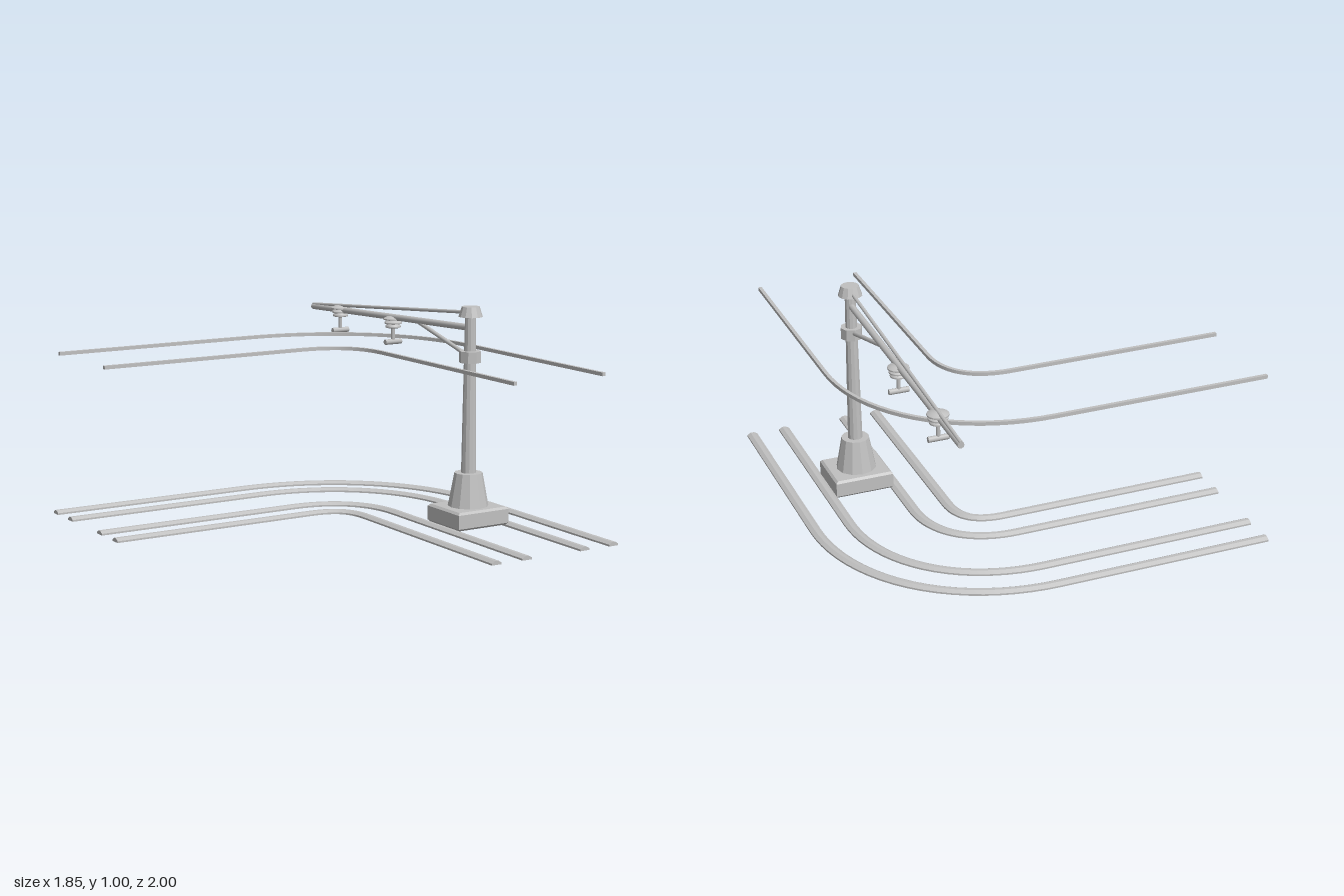
import * as THREE from 'three';
import { toCreasedNormals } from 'three/addons/utils/BufferGeometryUtils.js';

const POLE_X = 0.583, POLE_Z = 0.35;
const BEND_X = 0.073, START_X = -0.925, END_Z = 1;
const BEND_R = 0.51, HANDLE = 0.6 * BEND_R;

// Middle line of the bend; every rail and wire runs parallel to it
const bend = new THREE.CubicBezierCurve(
  new THREE.Vector2(BEND_X, -BEND_R), new THREE.Vector2(BEND_X + HANDLE, -BEND_R),
  new THREE.Vector2(BEND_X + BEND_R, -HANDLE), new THREE.Vector2(BEND_X + BEND_R, 0));

// Sweep a cross-section (outward offset, height) along a straight, the bend and a straight
function bendSweep(radius, profile, steps = 20) {
  const rings = [[START_X, -radius, 0, -1]];
  for (let i = 0; i <= steps; i++) {
    const p = bend.getPoint(i / steps), t = bend.getTangent(i / steps);
    const d = radius - BEND_R;
    rings.push([p.x + t.y * d, p.y - t.x * d, t.y, -t.x]);
  }
  rings.push([BEND_X + radius, END_Z, 1, 0]);

  const n = profile.length, pos = [], idx = [];
  for (const [x, z, ox, oz] of rings)
    for (const [u, y] of profile) pos.push(x + ox * u, y, z + oz * u);
  for (let i = 0; i < rings.length - 1; i++)
    for (let j = 0; j < n; j++) {
      const a = i * n + j, b = i * n + (j + 1) % n;
      idx.push(a, b, b + n, a, b + n, a + n);
    }
  const last = (rings.length - 1) * n;
  for (let j = 1; j < n - 1; j++)
    idx.push(0, j + 1, j, last, last + j, last + j + 1);

  const geo = new THREE.BufferGeometry();
  geo.setAttribute('position', new THREE.Float32BufferAttribute(pos, 3));
  geo.setIndex(idx);
  return toCreasedNormals(geo, 0.4);
}

// Box with chamfered top and bottom edges, standing on y = 0
function chamferedBox(w, h, d, c) {
  const x = w / 2 - c, z = d / 2 - c;
  const shape = new THREE.Shape([[-x, -z], [x, -z], [x, z], [-x, z]].map(p => new THREE.Vector2(...p)));
  return new THREE.ExtrudeGeometry(shape, {
    depth: h - 2 * c, bevelThickness: c, bevelSize: c, bevelSegments: 1,
  }).translate(0, 0, c).rotateX(-Math.PI / 2);
}

export function createModel() {
  const model = new THREE.Group();
  model.name = 'tramCurve';
  const grey = new THREE.MeshStandardMaterial({ color: 0xc0c0c0 });
  grey.name = 'grey';

  const add = (name, geo, parent, x = 0, y = 0, z = 0) => {
    const mesh = new THREE.Mesh(geo, grey);
    mesh.name = name;
    mesh.position.set(x, y, z);
    parent.add(mesh);
    return mesh;
  };
  const turned = (points, sides) => toCreasedNormals(
    new THREE.LatheGeometry(points.map(([r, y]) => new THREE.Vector2(r, y)), sides), 0.45);
  // Rod between two points (y, z) in the plane of the pole
  const rod = (name, parent, [y0, z0], [y1, z1], r) => {
    const a = new THREE.Vector3(0, y0, z0), b = new THREE.Vector3(0, y1, z1);
    const dir = b.clone().sub(a);
    const mesh = add(name, new THREE.CylinderGeometry(r, r, dir.length(), 8), parent);
    mesh.position.copy(a).add(b).multiplyScalar(0.5);
    mesh.quaternion.setFromUnitVectors(new THREE.Vector3(0, 1, 0), dir.normalize());
  };

  // Ground rails: wide foot sloping up to a narrow flat head
  const railProfile = [[-0.025, 0], [0.025, 0], [0.025, 0.008],
    [0.008, 0.018], [-0.008, 0.018], [-0.025, 0.008]];
  for (const r of [0.195, 0.355, 0.665, 0.825])
    add('rail', bendSweep(r, railProfile), model);

  // Overhead wires above the centre of each track
  const wireProfile = [[-0.008, 0.756], [0.008, 0.756], [0.008, 0.772], [-0.008, 0.772]];
  for (const r of [0.275, 0.745])
    add('overheadWire', bendSweep(r, wireProfile), model);

  // Pole with plinth, flared foot, collar and cap
  const pole = new THREE.Group();
  pole.name = 'pole';
  pole.position.set(POLE_X, 0, POLE_Z);
  model.add(pole);
  add('plinth', chamferedBox(0.274, 0.084, 0.246, 0.01), pole, 0, 0.009, 0);
  add('foot', turned([[0, 0.085], [0.094, 0.085], [0.064, 0.245], [0, 0.245]], 12), pole);
  add('shaft', turned([[0.034, 0.24], [0.025, 0.96]], 12), pole);
  add('collar', turned([[0, 0.748], [0.05, 0.748], [0.05, 0.8], [0, 0.8]], 8), pole);
  add('cap', turned([[0, 0.954], [0.055, 0.954], [0.04, 1], [0, 1]], 12), pole);

  // Cantilever arm with its stay above and brace below
  const arm = new THREE.Group();
  arm.name = 'arm';
  arm.position.x = POLE_X;
  model.add(arm);
  rod('boom', arm, [0.904, 0.34], [0.854, -1], 0.015);
  rod('stay', arm, [0.972, 0.33], [0.865, -1], 0.008);
  rod('brace', arm, [0.777, 0.33], [0.882, -0.06], 0.01);

  // Ribbed insulators with drop stem and wire clamp
  for (const z of [-0.275, -0.745]) {
    const hanger = new THREE.Group();
    hanger.name = 'hanger';
    hanger.position.set(POLE_X, 0, z);
    model.add(hanger);
    const profile = [[0, 0.83], [0.03, 0.83]];
    for (const [r, y] of [[0.037, 0.833], [0.042, 0.851], [0.047, 0.869]])
      profile.push([r, y], [r, y + 0.006], [0.03, y + 0.015]);
    profile.push([0, 0.888]);
    add('insulator', turned(profile, 16), hanger);
    add('stem', new THREE.CylinderGeometry(0.009, 0.009, 0.075, 8), hanger, 0, 0.8, 0);
    const clamp = add('clamp', new THREE.CylinderGeometry(0.013, 0.013, 0.09, 8), hanger, 0, 0.764, 0);
    clamp.rotation.z = Math.PI / 2;
  }
  return model;
}
